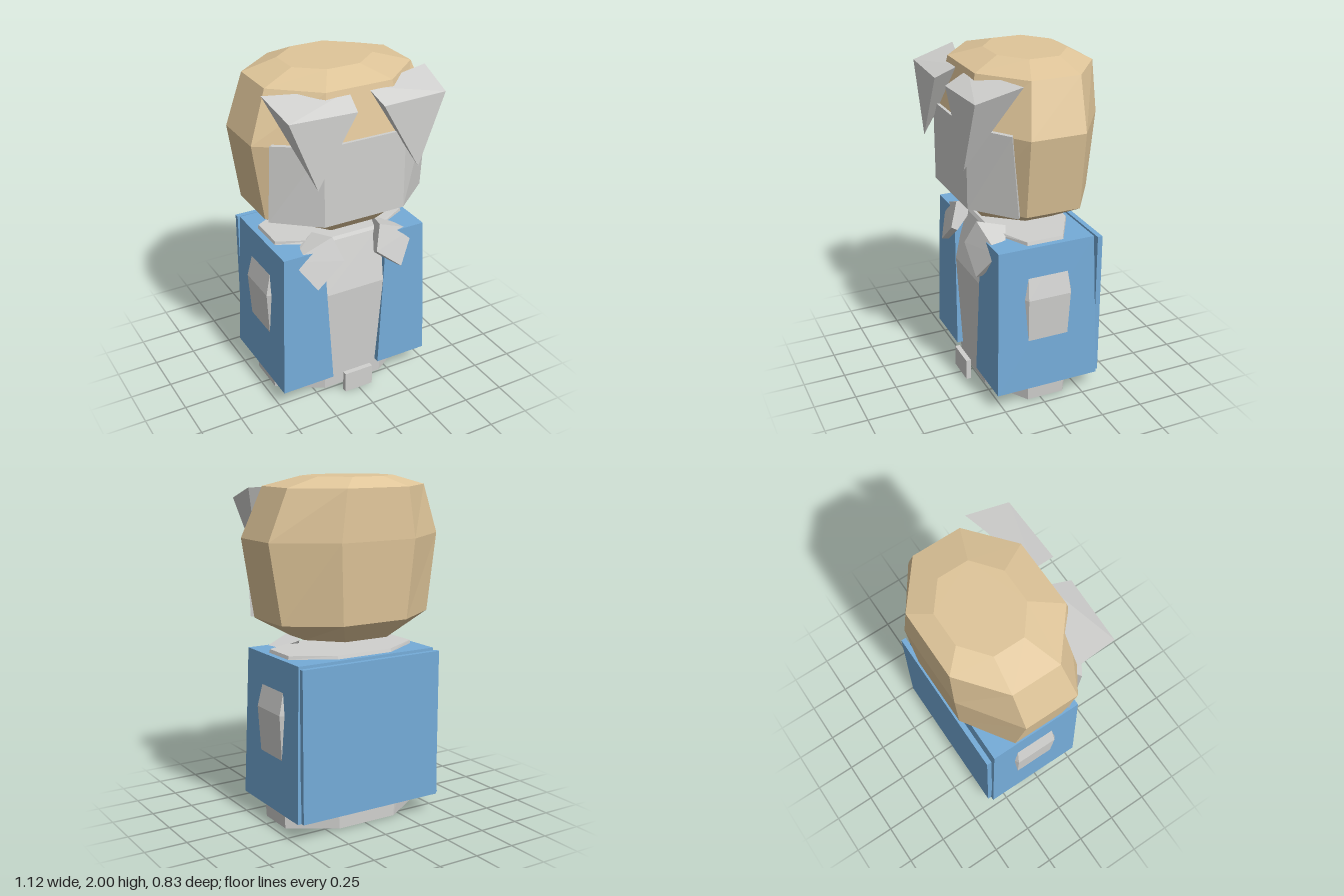
import * as THREE from 'three';
import { ConvexGeometry } from 'three/addons/geometries/ConvexGeometry.js';

const material = (name, color) => {
  const m = new THREE.MeshStandardMaterial({ color, flatShading: true });
  m.name = name;
  return m;
};

// Closed solid through rings of [x, z] points (front edge runs towards +x), each at its own height
function loft(rings) {
  const pos = [];
  const n = rings[0].pts.length;
  const put = (r, i) => pos.push(r.pts[i % n][0], r.y, r.pts[i % n][1]);
  for (let k = 0; k < rings.length - 1; k++) {
    const a = rings[k], b = rings[k + 1];
    for (let i = 0; i < n; i++) {
      put(a, i); put(a, i + 1); put(b, i + 1);
      put(a, i); put(b, i + 1); put(b, i);
    }
  }
  const cap = (r, flip) => {
    const flat = r.pts.map(([x, z]) => new THREE.Vector2(x, -z));
    for (const t of THREE.ShapeUtils.triangulateShape(flat, [])) {
      (flip ? [t[2], t[1], t[0]] : t).forEach(i => put(r, i));
    }
  };
  cap(rings[0], true);
  cap(rings[rings.length - 1], false);
  const g = new THREE.BufferGeometry();
  g.setAttribute('position', new THREE.Float32BufferAttribute(pos, 3));
  g.computeVertexNormals();
  return g;
}

// Octagon ring: side half-width and z range, front/back half-width and z range
const octagon = (y, sx, s0, s1, fx, f, b) => ({
  y,
  pts: [[-fx, f], [fx, f], [sx, s0], [sx, s1], [fx, b], [-fx, b], [-sx, s1], [-sx, s0]],
});

export function createModel() {
  const model = new THREE.Group();
  const tan = material('tan', 0xdfc599);
  const grey = material('light grey', 0xd0d0ce);
  const blue = material('blue', 0x74abd8);
  const add = (name, geometry, mat) => {
    const mesh = new THREE.Mesh(geometry, mat);
    mesh.name = name;
    model.add(mesh);
    return mesh;
  };

  // Head
  add('head', loft([
    octagon(1.095, 0.3, 0.04, -0.12, 0.14, 0.235, -0.29),
    octagon(1.205, 0.49, 0.12, -0.2, 0.21, 0.33, -0.385),
    octagon(1.66, 0.56, 0.13, -0.19, 0.24, 0.35, -0.415),
    octagon(1.945, 0.45, 0.08, -0.205, 0.2, 0.29, -0.405),
    octagon(2.0, 0.25, 0, -0.18, 0.1, 0.12, -0.3),
  ]), tan);

  // Wrapped plate over the lower face
  const maskRing = (y, end) => ({
    y,
    pts: [[-0.25, 0.365], [0.25, 0.365], [0.49, end], [0.46, end - 0.02],
      [0.23, 0.29], [-0.23, 0.29], [-0.46, end - 0.02], [-0.49, end]],
  });
  add('faceMask', loft([maskRing(1.205, 0.165), maskRing(1.675, 0.205)]), grey);

  // Torso, slightly bulging through the jacket sides
  add('torso', loft([
    octagon(0.01, 0.45, 0.085, -0.14, 0.19, 0.25, -0.31),
    octagon(0.69, 0.49, 0.1, -0.16, 0.21, 0.275, -0.315),
    octagon(1.0, 0.42, 0.08, -0.14, 0.18, 0.2, -0.28),
    octagon(1.02, 0.415, 0.08, -0.14, 0.18, 0.19, -0.275),
  ]), grey);

  // Jacket open at the front, flaring downwards
  const jacketRing = (y, w, gap, f, b) => ({
    y,
    pts: [[gap, f], [w, f], [w, b], [-w, b], [-w, f], [-gap, f], [-gap, 0.08], [gap, 0.08]],
  });
  add('jacket', loft([
    jacketRing(0.11, 0.485, 0.155, 0.29, -0.345),
    jacketRing(1.0, 0.455, 0.205, 0.27, -0.315),
  ]), blue);

  // Panel on the jacket back
  add('backPanel', new THREE.BoxGeometry(0.92, 0.88, 0.03), blue).position.set(0, 0.55, -0.353);

  // Belt buckle
  add('buckle', new THREE.BoxGeometry(0.185, 0.13, 0.03), grey).position.set(0, 0.065, 0.315);

  // Mirrored hair tufts and collar flaps
  for (const s of [1, -1]) {
    const side = s > 0 ? 'left' : 'right';
    const solid = pts => new ConvexGeometry(pts.map(([x, y, z]) => new THREE.Vector3(s * x, y, z)));
    add(side + 'HairTuft', solid([
      [0.5, 1.935, 0.145], [0.055, 1.925, 0.27], [0.08, 1.86, 0.412], [0.47, 1.865, 0.4],
      [0.31, 1.46, 0.405],
    ]), grey);
    add(side + 'Collar', solid([
      [0.155, 1.075, 0.275], [0.4, 0.97, 0.25], [0.275, 0.79, 0.33], [0.105, 0.935, 0.33],
      [0.2, 1.04, 0.115], [0.39, 0.965, 0.2], [0.265, 0.785, 0.29], [0.11, 0.91, 0.29],
    ]), grey);
  }
  return model;
}
